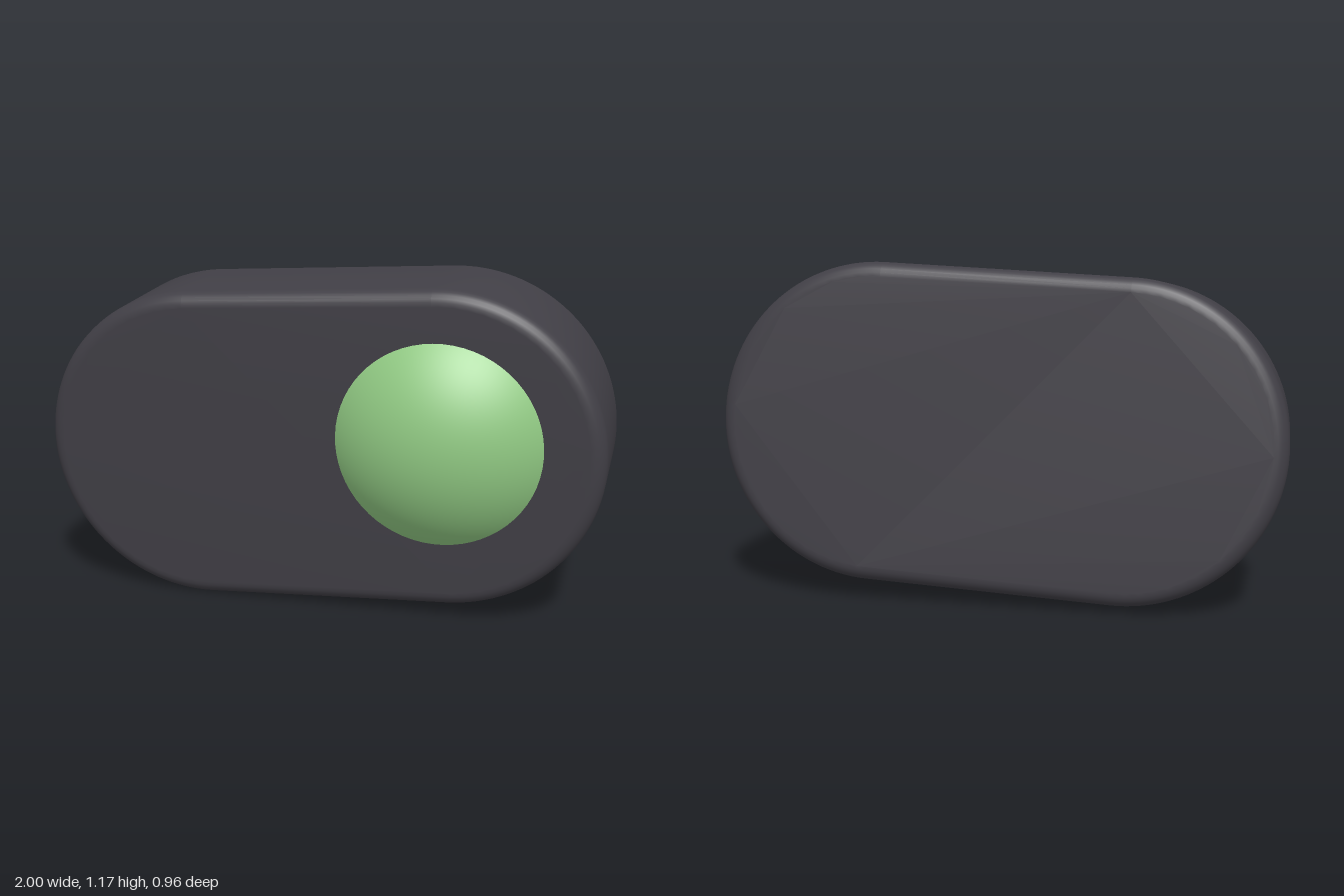
import * as THREE from 'three';
import { toCreasedNormals } from 'three/addons/utils/BufferGeometryUtils.js';

export function createModel() {
  const charcoal = new THREE.MeshStandardMaterial({ color: 0x413f46 });
  charcoal.name = 'charcoal';
  const green = new THREE.MeshStandardMaterial({ color: 0x92cb84 });
  green.name = 'green';

  const halfSpan = 0.43;       // half the distance between the end-cap centres
  const radius = 0.554;        // end-cap radius
  const halfThickness = 0.232;
  const bevel = 0.05;

  // Pill-shaped body with softly rounded rims
  const r = radius - bevel;
  const outline = new THREE.Shape();
  outline.moveTo(-halfSpan, -r);
  outline.lineTo(halfSpan, -r);
  outline.absarc(halfSpan, 0, r, -Math.PI / 2, Math.PI / 2, false);
  outline.lineTo(-halfSpan, r);
  outline.absarc(-halfSpan, 0, r, Math.PI / 2, Math.PI * 1.5, false);
  const depth = 2 * (halfThickness - bevel);
  const bodyGeometry = new THREE.ExtrudeGeometry(outline, {
    depth, curveSegments: 32,
    bevelEnabled: true, bevelSize: bevel, bevelThickness: bevel, bevelSegments: 6,
  });
  bodyGeometry.translate(0, 0, -depth / 2);
  const body = new THREE.Mesh(toCreasedNormals(bodyGeometry, 0.5), charcoal);
  body.name = 'body';

  // Shallow domed button, its rim sunk just below the front face
  const domeRadius = 0.51;
  const domeGeometry = new THREE.SphereGeometry(domeRadius, 64, 24, 0, Math.PI * 2, 0, 0.82);
  domeGeometry.rotateX(Math.PI / 2);
  const button = new THREE.Mesh(domeGeometry, green);
  button.name = 'button';
  button.position.set(halfSpan, 0.03, halfThickness - 0.369);

  // Slight tilt of the whole object
  const pill = new THREE.Group();
  pill.name = 'tiltedPill';
  pill.add(body, button);
  pill.rotation.set(0.065, -0.26, 0.07);
  pill.position.set(0, 0.5875, -0.015);

  const model = new THREE.Group();
  model.name = 'pillWithButton';
  model.add(pill);
  return model;
}
